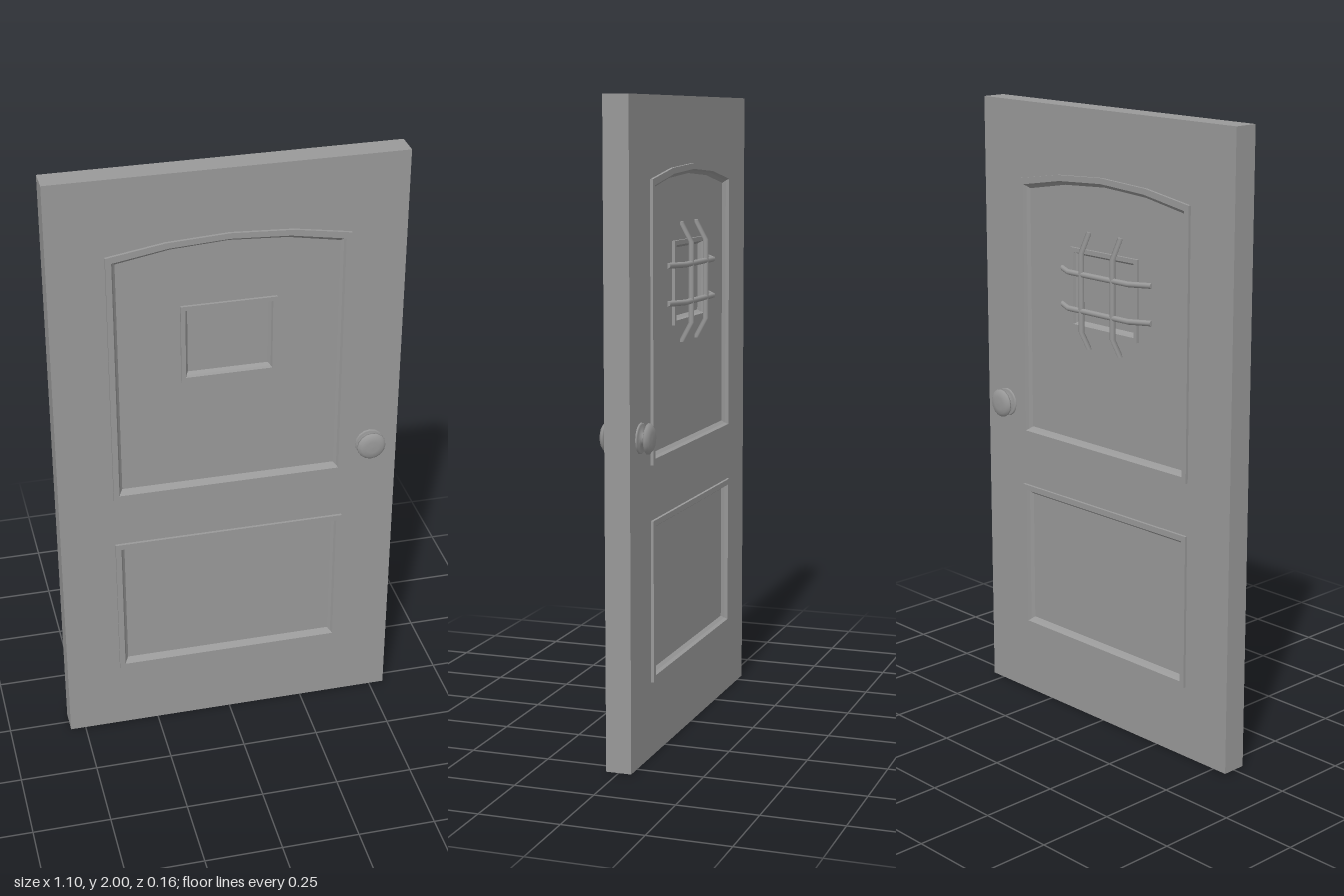
import * as THREE from 'three';

const flat = new THREE.MeshStandardMaterial({ color: 0x999999, flatShading: true });
const smooth = new THREE.MeshStandardMaterial({ color: 0x999999 });

function mesh(name, geometry, material = flat) {
  const m = new THREE.Mesh(geometry, material);
  m.name = name;
  return m;
}

// Panel outline (counter-clockwise), inset by i, with an optional shallow arch on top
function outline({ w, bottom, top, arch = 0 }, i) {
  const x = w - i;
  const pts = [[-x, bottom + i], [x, bottom + i], [x, top - i]];
  if (arch) {
    for (const t of [0.52, 0, -0.52]) pts.push([x * t, top - i + arch * (1 - t * t)]);
  }
  pts.push([-x, top - i]);
  return pts.map(p => new THREE.Vector2(...p));
}

// Flat sheet centred on z = 0 with holes
function sheet(points, holes, halfDepth) {
  const shape = new THREE.Shape(points);
  shape.holes = holes.map(h => new THREE.Path(h));
  const g = new THREE.ExtrudeGeometry(shape, { depth: halfDepth * 2, bevelEnabled: false });
  return g.translate(0, 0, -halfDepth);
}

// Mitred moulding: a profile of [inset, z] swept around an outline
function moulding(spec, profile) {
  const rings = profile.map(([i, z]) => outline(spec, i).map(p => [p.x, p.y, z]));
  const n = rings[0].length, pos = [];
  for (let r = 0; r < rings.length - 1; r++) {
    for (let k = 0; k < n; k++) {
      const a = rings[r][k], b = rings[r][(k + 1) % n];
      const c = rings[r + 1][(k + 1) % n], d = rings[r + 1][k];
      pos.push(...a, ...b, ...c, ...a, ...c, ...d);
    }
  }
  const g = new THREE.BufferGeometry();
  g.setAttribute('position', new THREE.Float32BufferAttribute(pos, 3));
  g.computeVertexNormals();
  return g;
}

// Upright bar with bent-in ends: cylinder rings moved to four stations
function bar(end, bend) {
  const g = new THREE.CylinderGeometry(0.009, 0.009, 3, 8, 3);
  const p = g.attributes.position;
  const ys = [-end, -bend, bend, end], zs = [0.03, 0.064, 0.064, 0.03];
  for (let i = 0; i < p.count; i++) {
    const s = Math.round(p.getY(i) + 1.5);
    p.setY(i, ys[s]);
    p.setZ(i, p.getZ(i) + zs[s]);
  }
  return g;
}

export function createModel() {
  const door = new THREE.Group();
  door.name = 'door';

  const slabZ = 0.04, frameZ = 0.049, panelZ = 0.029, paneZ = 0.017;
  const upper = { w: 0.375, bottom: 0.905, top: 1.755, arch: 0.04 };
  const lower = { w: 0.375, bottom: 0.235, top: 0.735 };
  const window_ = { w: 0.15, bottom: 1.303, top: 1.562 };

  // Slab, recessed panels and window pane
  const slab = { w: 0.55, bottom: 0, top: 2 };
  door.add(mesh('slab', sheet(outline(slab, 0), [outline(upper, 0.01), outline(lower, 0.01)], slabZ)));
  door.add(mesh('upperPanel', sheet(outline(upper, 0.01), [outline(window_, 0.01)], panelZ)));
  door.add(mesh('lowerPanel', sheet(outline(lower, 0.01), [], panelZ)));
  door.add(mesh('windowPane', sheet(outline(window_, 0.01), [], paneZ)));

  // Mouldings and knob, repeated on both faces
  const profile = [[0, slabZ - 0.002], [0, frameZ], [0.018, frameZ], [0.023, 0.039], [0.031, panelZ]];
  const windowProfile = [[0, panelZ - 0.002], [0, 0.038], [0.014, 0.038], [0.017, 0.028], [0.024, paneZ]];
  const roseProfile = [
    [0.047, 0], [0.047, 0.003], [0.043, 0.006], [0.019, 0.006], [0.019, 0.02],
  ].map(p => new THREE.Vector2(...p));
  const headProfile = [
    [0, 0.02], [0.038, 0.02], [0.047, 0.024], [0.046, 0.028], [0.036, 0.036], [0.02, 0.038], [0, 0.0385],
  ].map(p => new THREE.Vector2(...p));
  for (const side of [1, -1]) {
    const face = new THREE.Group();
    face.name = side > 0 ? 'frontFace' : 'backFace';
    face.add(mesh('upperMoulding', moulding(upper, profile)));
    face.add(mesh('lowerMoulding', moulding(lower, profile)));
    face.add(mesh('windowMoulding', moulding(window_, windowProfile)));
    const knob = new THREE.Group();
    knob.name = 'knob';
    knob.add(mesh('knobRose', new THREE.LatheGeometry(roseProfile, 16), smooth));
    knob.add(mesh('knobHead', new THREE.LatheGeometry(headProfile, 16), smooth));
    knob.rotation.x = Math.PI / 2;
    knob.position.set(0.46 * side, 1, slabZ);
    face.add(knob);
    if (side < 0) face.rotation.y = Math.PI;
    door.add(face);
  }

  // Window grille on the back
  const grille = new THREE.Group();
  grille.name = 'windowGrille';
  for (const s of [-1, 1]) {
    const upright = mesh('uprightBar', bar(0.187, 0.125), smooth);
    upright.position.x = 0.07 * s;
    const cross = mesh('crossBar', bar(0.2, 0.135), smooth);
    cross.rotation.z = Math.PI / 2;
    cross.position.set(0.006, 0.058 * s, 0);
    grille.add(upright, cross);
  }
  grille.position.y = 1.431;
  grille.rotation.y = Math.PI;
  door.add(grille);

  return door;
}
